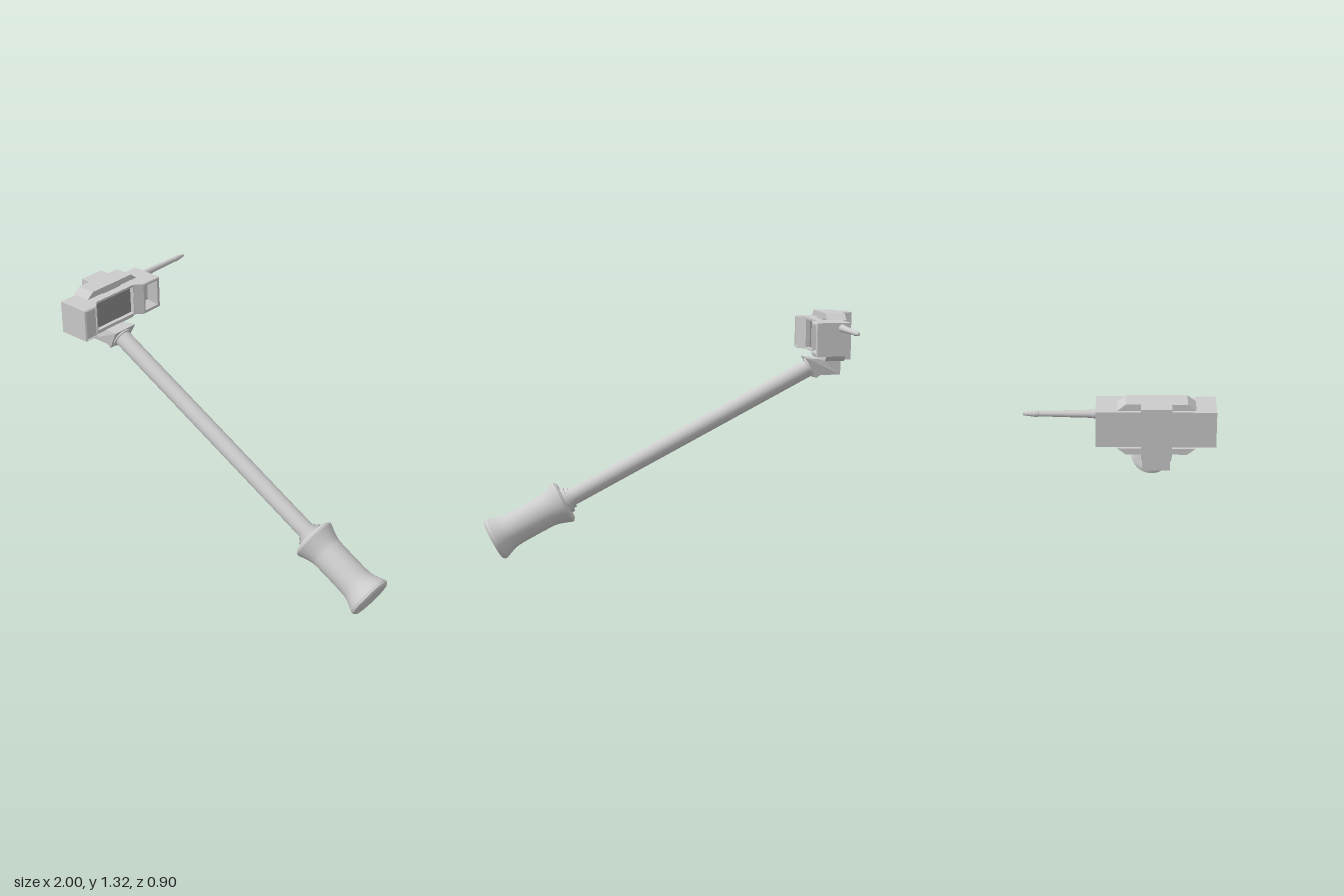
import * as THREE from 'three';

const grey = new THREE.MeshStandardMaterial({ color: 0xcccccc });
const flat = new THREE.MeshStandardMaterial({ color: 0xcccccc, flatShading: true });
const dark = new THREE.MeshStandardMaterial({ color: 0x8c8c8c });
const MID_Z = 0.166;

function add(parent, name, geometry, material = flat) {
  const mesh = new THREE.Mesh(geometry, material);
  mesh.name = name;
  parent.add(mesh);
  return mesh;
}

// Box given by its min and max along each axis
function box(x0, x1, y0, y1, z0, z1) {
  return new THREE.BoxGeometry(x1 - x0, y1 - y0, z1 - z0)
    .translate((x0 + x1) / 2, (y0 + y1) / 2, (z0 + z1) / 2);
}

// Skin over rectangles [x, y0, y1, z0, z1] stepping along x, with the last one closed
function rectLoft(rings) {
  const pos = [];
  const corners = rings.map(([x, y0, y1, z0, z1]) =>
    [[x, y0, z1], [x, y0, z0], [x, y1, z0], [x, y1, z1]]);
  const quad = (a, b, c, d) => pos.push(...a, ...b, ...c, ...a, ...c, ...d);
  for (let i = 0; i < corners.length - 1; i++) {
    for (let k = 0; k < 4; k++) {
      const n = (k + 1) % 4;
      quad(corners[i][k], corners[i][n], corners[i + 1][n], corners[i + 1][k]);
    }
  }
  quad(...corners[corners.length - 1]);
  const g = new THREE.BufferGeometry();
  g.setAttribute('position', new THREE.Float32BufferAttribute(pos, 3));
  g.computeVertexNormals();
  return g;
}

// Lathe with hard edges between the given smooth profile sections
function turned(parent, name, sections) {
  const group = new THREE.Group();
  group.name = name;
  for (const s of sections) {
    add(group, name + 'Section',
      new THREE.LatheGeometry(s.map(([r, y]) => new THREE.Vector2(r, y)), 40), grey);
  }
  parent.add(group);
  return group;
}

function buildHead() {
  const head = new THREE.Group();
  head.name = 'head';
  const y0 = 1.107, y1 = 1.285;

  // Back slab and the raised modules on its face
  add(head, 'bodySlab', box(-0.945, -0.83, y0, y1, -0.115, 0.445));
  add(head, 'frontModule', rectLoft([
    [-0.83, y0, y1, 0.325, 0.445], [-0.80, y0, y1, 0.325, 0.445],
    [-0.768, y0, y1, 0.36, 0.445], [-0.762, y0 + 0.006, y1 - 0.006, 0.365, 0.438],
    [-0.768, y0 + 0.01, y1 - 0.01, 0.367, 0.435],
  ]));
  add(head, 'rearModule', rectLoft([
    [-0.83, y0, y1, -0.115, 0.05], [-0.80, y0, y1, -0.115, 0.05],
    [-0.766, y0, y1, -0.115, 0.014], [-0.762, y0 + 0.005, y1 - 0.005, -0.11, 0.01],
    [-0.762, y0 + 0.018, y1 - 0.015, -0.095, 0],
    [-0.82, 1.145, 1.255, -0.077, -0.015],
  ]));
  add(head, 'screenFrame', rectLoft([
    [-0.83, y0, y1, 0.05, 0.325], [-0.80, y0, y1, 0.05, 0.325],
    [-0.80, y0 + 0.009, y1 - 0.012, 0.052, 0.323],
    [-0.825, y0 + 0.009, y1 - 0.012, 0.052, 0.323],
  ]));
  add(head, 'screen', box(-0.828, -0.823, y0 + 0.009, y1 - 0.012, 0.052, 0.323), dark);

  // Bevelled clamp plates above and below
  for (const [name, near, far, spacer] of [
    ['topPlate', 1.293, 1.325, 1.284], ['bottomPlate', 1.099, 1.068, 1.108]]) {
    const s = new THREE.Shape([[-0.35, near], [0.015, near], [-0.025, far], [-0.31, far]]
      .map(([x, y]) => new THREE.Vector2(x, y)));
    const g = new THREE.ExtrudeGeometry(s, { depth: 0.105, bevelEnabled: false });
    add(head, name, g.rotateY(Math.PI / 2).translate(-0.945, 0, 0));
    add(head, name + 'Spacer',
      box(-0.94, -0.845, Math.min(near, spacer), Math.max(near, spacer), 0.1, 0.232));
    add(head, name + 'Tab',
      box(-1, -0.944, Math.min(near, far), Math.max(near, far), 0.095, 0.237));
  }
  add(head, 'clampStrap', box(-1, -0.953, 1.098, 1.294, 0.095, 0.237));

  // Tapered aerial pointing backwards
  const aerial = turned(head, 'aerial', [
    [[0.021, 0], [0.021, 0.012]], [[0.021, 0.012], [0.019, 0.014]],
    [[0.019, 0.014], [0.013, 0.262]], [[0.013, 0.262], [0.015, 0.266], [0.015, 0.282]],
    [[0.015, 0.282], [0.008, 0.335]], [[0.008, 0.335], [0, 0.338]],
  ]);
  aerial.rotation.x = -Math.PI / 2;
  aerial.position.set(-0.9, 1.256, -0.115);
  return head;
}

// Angled socket that carries the pole, flaring towards its upper mouth
function buildNeck() {
  const s = new THREE.Shape([[-0.945, 0.985], [-0.835, 0.985], [-0.812, 0.968],
    [-0.757, 1.077], [-0.84, 1.07], [-0.945, 1.07]].map(([x, y]) => new THREE.Vector2(x, y)));
  const g = new THREE.ExtrudeGeometry(s, { depth: 0.13, bevelEnabled: false })
    .translate(0, 0, -0.065);
  const p = g.attributes.position;
  for (let i = 0; i < p.count; i++) {
    if (p.getX(i) > -0.78) p.setZ(i, p.getZ(i) * 1.16);
  }
  g.translate(0, 0, MID_Z);
  g.computeVertexNormals();
  return g;
}

export function createModel() {
  const model = new THREE.Group();
  model.name = 'handheldDevice';
  model.add(buildHead());
  add(model, 'neckSocket', buildNeck());

  // Pole and grip share one slanted axis, measured upwards from the grip end
  const shaft = new THREE.Group();
  shaft.name = 'shaft';
  const end = new THREE.Vector3(0.941, 0.106, MID_Z);
  const top = new THREE.Vector3(-0.79, 1.022, MID_Z);
  const length = end.distanceTo(top);
  shaft.position.copy(end);
  shaft.quaternion.setFromUnitVectors(new THREE.Vector3(0, 1, 0),
    top.clone().sub(end).normalize());
  model.add(shaft);

  turned(shaft, 'pole', [
    [[0.046, 0.45], [0.046, length]],
    [[0.046, length - 0.012], [0.057, length - 0.012]],
    [[0.057, length - 0.012], [0.057, length + 0.01]],
  ]);

  // Waisted grip with chamfered end and stepped collar
  const waist = new THREE.SplineCurve([[0.119, 0.014], [0.106, 0.045], [0.094, 0.078],
    [0.089, 0.12], [0.088, 0.21], [0.089, 0.31], [0.094, 0.345], [0.106, 0.382], [0.119, 0.414]]
    .map(([x, y]) => new THREE.Vector2(x, y))).getPoints(32).map((v) => [v.x, v.y]);
  turned(shaft, 'grip', [
    [[0, -0.01], [0.107, -0.01]],
    [[0.107, -0.01], [0.119, 0]],
    [[0.119, 0], [0.119, 0.014]],
    waist,
    [[0.119, 0.414], [0.119, 0.424]],
    [[0.119, 0.424], [0.105, 0.436]],
    [[0.105, 0.436], [0.073, 0.436]],
    [[0.073, 0.436], [0.073, 0.456]],
    [[0.073, 0.456], [0.057, 0.456]],
    [[0.057, 0.456], [0.057, 0.475]],
    [[0.057, 0.475], [0.046, 0.475]],
  ]);
  return model;
}
